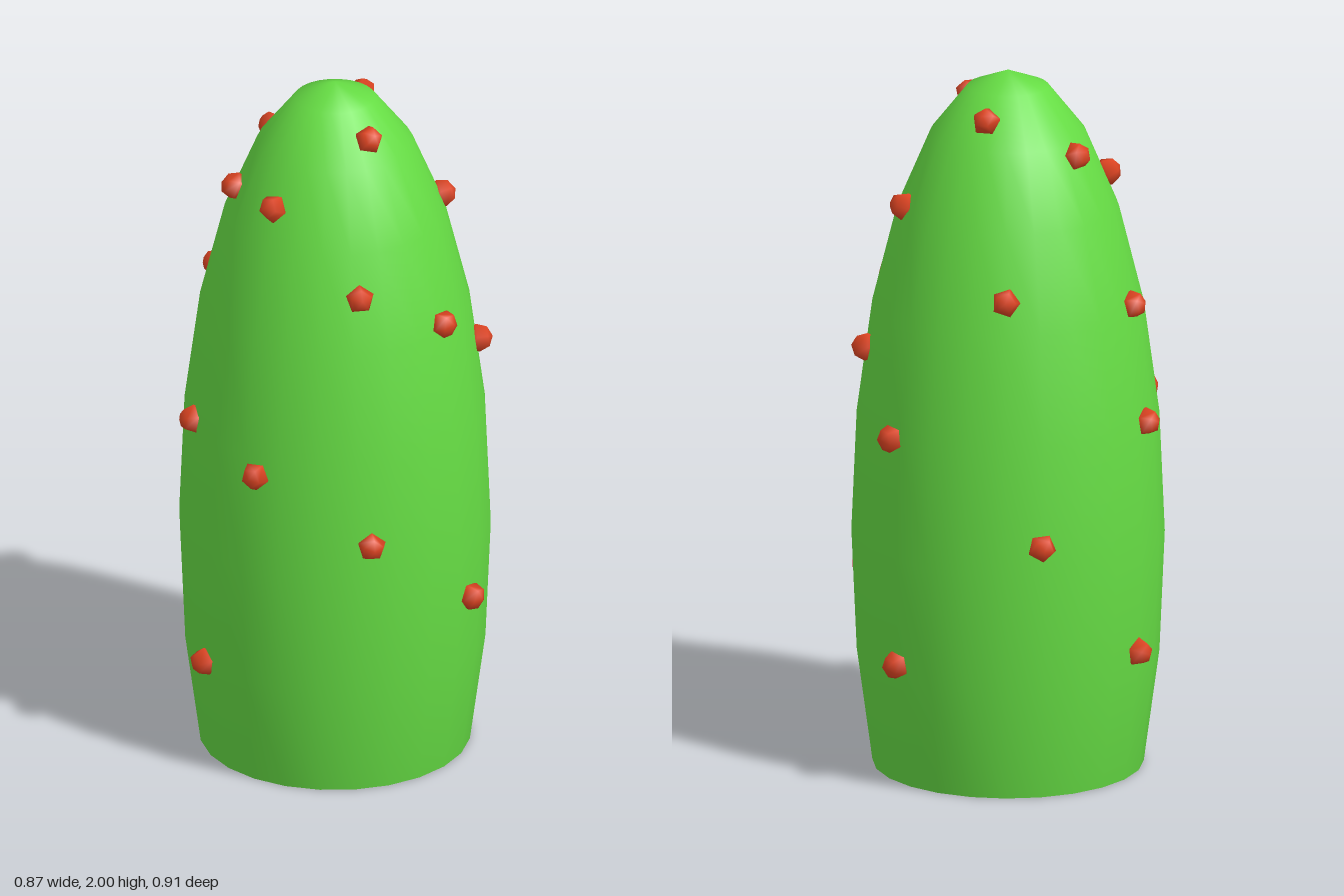
import * as THREE from 'three';

export function createModel() {
  const group = new THREE.Group();
  const R = 0.435, H = 4 / 3, CY = 2 / 3, CZ = 0.01;

  // Body: stretched sphere cut open at the bottom
  const body = new THREE.Mesh(
    new THREE.SphereGeometry(1, 24, 8, 0, Math.PI * 2, 0, Math.PI * 2 / 3),
    new THREE.MeshStandardMaterial({ color: 0x66dd44, side: THREE.DoubleSide })
  );
  body.name = 'body';
  body.scale.set(R, H, R);
  body.position.set(0, CY, CZ);
  group.add(body);

  // Bumps: direction around the axis (x, z) and height y
  const spots = [
    [0.11, 1.89, 0.145], [0.06, 1.895, -0.155], [-0.19, 1.79, -0.125],
    [-0.15, 1.71, 0.245], [-0.28, 1.69, 0.07], [0.30, 1.63, -0.08],
    [0.11, 1.49, 0.345], [0, 1.43, -0.36], [0.33, 1.36, 0.20],
    [-0.36, 1.36, -0.13], [0.40, 1.21, -0.04], [-0.385, 1.03, 0.20],
    [-0.40, 1.03, -0.16], [0.325, 1.01, -0.27], [-0.18, 0.96, 0.40],
    [0.15, 0.77, 0.42], [-0.105, 0.74, -0.425], [0.40, 0.52, 0.18],
    [-0.375, 0.38, -0.215], [0.31, 0.36, -0.29], [-0.345, 0.32, 0.27]
  ];
  const bumpGeo = new THREE.SphereGeometry(0.041, 5, 4);
  const bumpMat = new THREE.MeshStandardMaterial({ color: 0xdd4422 });
  const up = new THREE.Vector3(0, 1, 0);
  const bumps = new THREE.Group();
  bumps.name = 'bumps';
  for (const [x, y, z] of spots) {
    const angle = Math.atan2(z - CZ, x);
    const r = R * Math.sqrt(1 - ((y - CY) / H) ** 2);
    const px = r * Math.cos(angle), pz = r * Math.sin(angle);
    const normal = new THREE.Vector3(px / R ** 2, (y - CY) / H ** 2, pz / R ** 2).normalize();
    const bump = new THREE.Mesh(bumpGeo, bumpMat);
    bump.name = 'bump';
    bump.position.set(px, y, pz + CZ);
    bump.quaternion.setFromUnitVectors(up, normal);
    bumps.add(bump);
  }
  group.add(bumps);
  return group;
}
